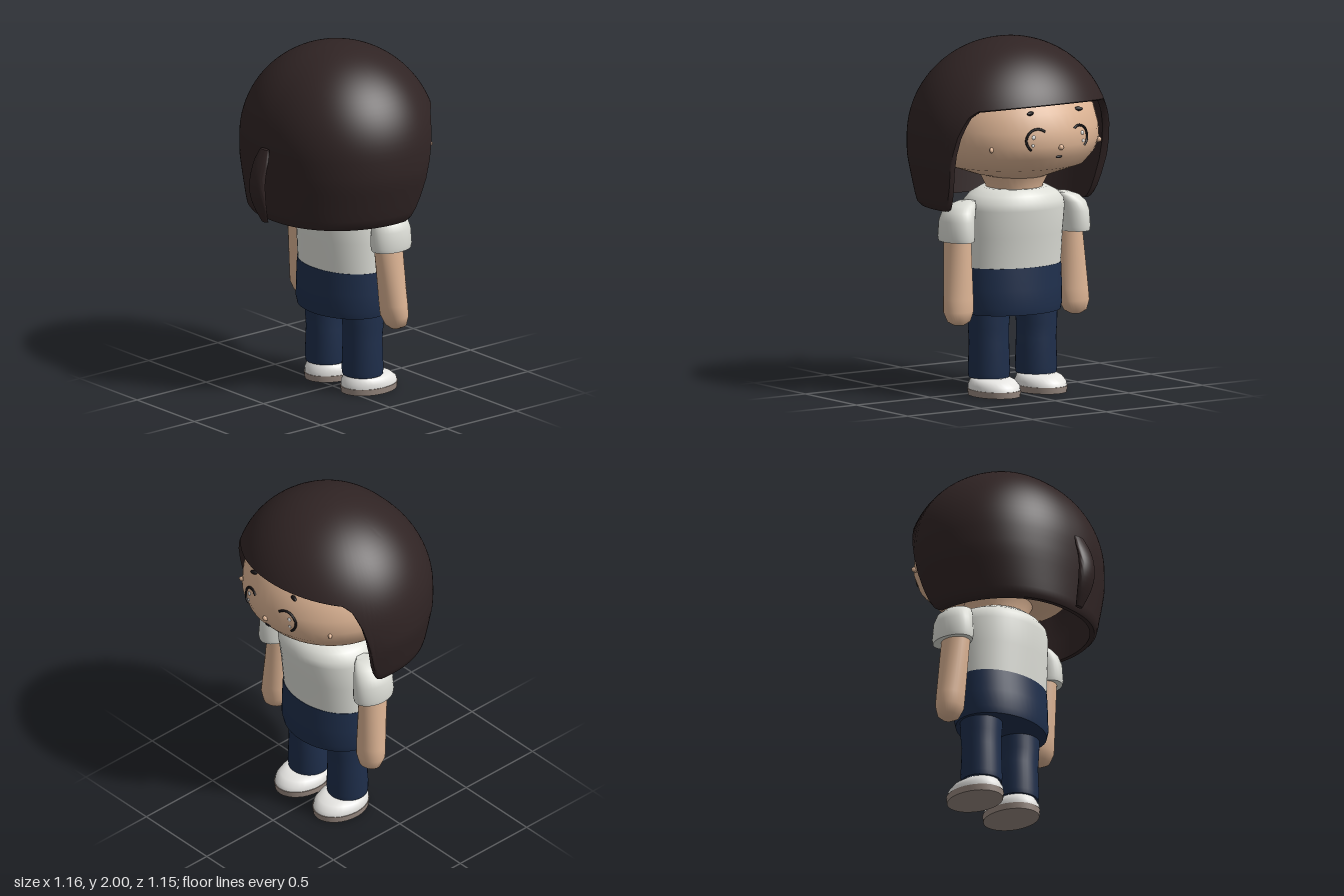
import * as THREE from 'three';
import { toCreasedNormals } from 'three/addons/utils/BufferGeometryUtils.js';

const material = (name, color) => {
  const m = new THREE.MeshStandardMaterial({ color });
  m.name = name;
  return m;
};

// Skin a list of closed rings, ordered bottom to top
function skin(rings, crease = 0.8) {
  const n = rings[0].length, pos = [], idx = [];
  rings.forEach(r => r.forEach(p => pos.push(...p)));
  for (let i = 0; i < rings.length - 1; i++) {
    for (let j = 0; j < n; j++) {
      const k = (j + 1) % n, a = i * n + j, b = i * n + k, c = a + n, d = b + n;
      idx.push(a, b, c, b, d, c);
    }
  }
  const g = new THREE.BufferGeometry();
  g.setAttribute('position', new THREE.Float32BufferAttribute(pos, 3));
  g.setIndex(idx);
  g.computeVertexNormals();
  return crease ? toCreasedNormals(g, crease) : g;
}

// Elliptical sections [y, rx, rz, cx, cz], closed at both ends
function loft(sections, n = 32) {
  const first = sections[0], last = sections[sections.length - 1];
  const cap = s => [s[0], 0.0001, 0.0001, s[3], s[4]];
  return skin([cap(first), ...sections, cap(last)].map(([y, rx, rz, cx, cz]) =>
    Array.from({ length: n }, (_, j) => {
      const t = j / n * Math.PI * 2;
      return [cx + rx * Math.sin(t), y, cz + rz * Math.cos(t)];
    })));
}

// Piecewise linear lookup in rows sorted by first column
function lookup(rows, v, col = 1) {
  let i = 1;
  while (i < rows.length - 1 && rows[i][0] < v) i++;
  const a = rows[i - 1], b = rows[i];
  const t = THREE.MathUtils.clamp((v - a[0]) / (b[0] - a[0]), 0, 1);
  return a[col] + (b[col] - a[col]) * t;
}

const HEAD = [
  [1.23, 0.17, 0.18, 0, -0.11], [1.25, 0.25, 0.24, 0, -0.1], [1.3, 0.4, 0.37, 0, -0.1],
  [1.37, 0.455, 0.435, 0, -0.1], [1.44, 0.48, 0.46, 0, -0.1], [1.52, 0.475, 0.455, 0, -0.1],
  [1.62, 0.45, 0.425, 0, -0.1], [1.7, 0.4, 0.375, 0, -0.1], [1.78, 0.3, 0.29, 0, -0.1],
];
const faceZ = (x, y) =>
  -0.1 - lookup(HEAD, y, 2) * Math.sqrt(1 - (x / lookup(HEAD, y, 1)) ** 2);

// Lower hair edge: [front-facing amount, height]
const HAIR_EDGE = [
  [-1, 1.06], [0.18, 1.06], [0.24, 1.09], [0.32, 1.2], [0.4, 1.38],
  [0.46, 1.5], [0.54, 1.6], [0.62, 1.64], [1, 1.67],
];
const HAIR_FALL = [[1.06, 0.86], [1.1, 0.89], [1.25, 0.96], [1.35, 1], [1.45, 1]];

function hairGeometry() {
  const n = 120;
  const point = (j, v, scale) => {
    const t = j / n * Math.PI * 2, s = Math.sin(t), c = Math.cos(t);
    const y = 2 - (2 - lookup(HAIR_EDGE, -c)) * v * v;
    const dome = y > 1.45 ? Math.sqrt(Math.max(0, 1 - ((y - 1.45) / 0.55) ** 2)) : 1;
    const fall = lookup(HAIR_FALL, y);
    const e = c > 0 ? 0.88 : 1;
    const x = 0.58 * dome * fall * Math.sign(s) * Math.abs(s) ** e;
    const z = (c > 0 ? 0.52 : 0.53) * dome * (0.7 + 0.3 * fall) * c;
    return [x * scale, y, -0.05 + z * scale];
  };
  const ring = (v, scale) => Array.from({ length: n }, (_, j) => point(j, v, scale));
  const rings = [];
  for (let i = 5; i <= 12; i++) rings.push(ring(i / 12, 0.93)); // inner lining
  rings.push(ring(1, 0.98));
  for (let i = 32; i >= 0; i--) rings.push(ring(i === 32 ? 0.99 : i / 32, 1)); // outside
  return skin(rings, 0.9);
}

export function createModel() {
  const model = new THREE.Group();
  model.name = 'figure';
  const hair = material('dark brown hair', 0x302424);
  const skinTone = material('skin', 0xdeb595);
  const shirt = material('off white cloth', 0xdedfd8);
  const navy = material('navy cloth', 0x1f2f4c);
  const shoe = material('white shoe', 0xeae9e6);
  const sole = material('taupe sole', 0x998a81);
  const ink = material('black features', 0x151214);

  const add = (name, geometry, mat, parent = model) => {
    const m = new THREE.Mesh(geometry, mat);
    m.name = name;
    parent.add(m);
    return m;
  };

  // Head, neck and hair
  add('head', loft(HEAD, 48), skinTone);
  add('neck', loft([[1.08, 0.16, 0.16, 0, -0.1], [1.17, 0.16, 0.16, 0, -0.1],
    [1.25, 0.2, 0.2, 0, -0.1]]), skinTone);
  add('hair', hairGeometry(), hair);
  const lock = [];
  for (let i = 0; i <= 14; i++) {
    const u = i / 14, bulge = Math.sin(Math.PI * u);
    const w = lookup([[0, 0.025], [0.2, 0.05], [0.4, 0.062], [0.85, 0.058], [1, 0.038]], u);
    lock.push([1.065 + 0.425 * u, w, 0.012 + 0.016 * bulge, 0, 0.488 + 0.057 * bulge]);
  }
  add('backLock', loft(lock), hair);

  // Torso and shorts
  add('shirt', loft([[0.72, 0.3, 0.215, 0, -0.075], [0.9, 0.303, 0.232, 0, -0.08],
    [1.05, 0.305, 0.25, 0, -0.09], [1.09, 0.295, 0.247, 0, -0.092],
    [1.13, 0.26, 0.22, 0, -0.095], [1.165, 0.19, 0.18, 0, -0.1]], 48), shirt);
  add('hips', loft([[0.46, 0.295, 0.222, 0, -0.075], [0.5, 0.305, 0.23, 0, -0.075],
    [0.6, 0.305, 0.226, 0, -0.075], [0.725, 0.302, 0.218, 0, -0.075]], 48), navy);

  for (const s of [1, -1]) {
    const side = s > 0 ? 'left' : 'right';

    // Arm and sleeve
    add(side + 'Arm', loft([[0.415, 0.03, 0.03, s * 0.395, -0.13],
      [0.435, 0.068, 0.055, s * 0.395, -0.13], [0.49, 0.09, 0.073, s * 0.393, -0.122],
      [0.56, 0.088, 0.076, s * 0.39, -0.117], [0.9, 0.072, 0.086, s * 0.378, -0.09],
      [1.0, 0.07, 0.086, s * 0.375, -0.09]]), skinTone);
    add(side + 'Sleeve', loft([[0.885, 0.086, 0.125, s * 0.392, -0.1],
      [0.91, 0.09, 0.13, s * 0.392, -0.1], [1.0, 0.088, 0.125, s * 0.388, -0.1],
      [1.05, 0.085, 0.11, s * 0.375, -0.1], [1.085, 0.07, 0.085, s * 0.35, -0.1],
      [1.105, 0.045, 0.05, s * 0.32, -0.1]]), shirt);

    // Leg and shoe
    add(side + 'Leg', loft([[0.1, 0.115, 0.112, s * 0.16, -0.085],
      [0.13, 0.119, 0.116, s * 0.16, -0.085], [0.3, 0.114, 0.11, s * 0.16, -0.085],
      [0.38, 0.115, 0.115, s * 0.163, -0.085], [0.48, 0.12, 0.12, s * 0.16, -0.085]]), navy);
    add(side + 'Sole', loft([[0, 0.132, 0.172, s * 0.158, -0.133],
      [0.036, 0.136, 0.176, s * 0.158, -0.133]]), sole);
    const upper = loft([[0.036, 0.132, 0.172, s * 0.158, -0.133],
      [0.06, 0.132, 0.168, s * 0.158, -0.13], [0.085, 0.12, 0.145, s * 0.158, -0.12],
      [0.1, 0.1, 0.115, s * 0.158, -0.1]]);
    add(side + 'Shoe', upper, shoe);

    // Eye line, highlights, brow and cheek
    const arc = [];
    for (let i = 0; i <= 10; i++) {
      const a = -0.7 + 3.2 * i / 10;
      const x = s * (0.14 + 0.065 * Math.sin(a)), y = 1.48 + 0.065 * Math.cos(a);
      arc.push(new THREE.Vector3(x, y, faceZ(x, y) - 0.002));
    }
    add(side + 'Eye', new THREE.TubeGeometry(new THREE.CatmullRomCurve3(arc), 30, 0.007, 8), ink);
    for (const [x, y, r] of [[0.165, 1.5, 0.012], [0.17, 1.455, 0.009]]) {
      const dot = add(side + 'EyeHighlight', new THREE.SphereGeometry(r, 12, 8), shoe);
      dot.position.set(s * x, y, faceZ(x, y));
      dot.scale.z = 0.5;
    }
    const brow = add(side + 'Brow', new THREE.SphereGeometry(0.03, 16, 10), ink);
    brow.position.set(s * 0.16, 1.63, faceZ(0.16, 1.63));
    brow.scale.set(1, 0.4, 0.4);
    brow.rotation.y = s * 0.35;
    const cheek = add(side + 'Cheek', new THREE.SphereGeometry(0.022, 16, 10), skinTone);
    cheek.position.set(s * 0.36, 1.43, faceZ(0.36, 1.43));
    cheek.scale.set(1, 0.75, 0.5);
    cheek.rotation.y = s * 0.7;
  }

  // Nose and mouth
  const nose = add('nose', new THREE.SphereGeometry(0.016, 16, 10), skinTone);
  nose.position.set(0, 1.435, faceZ(0, 1.435));
  const mouth = add('mouth', new THREE.SphereGeometry(0.022, 16, 10), ink);
  mouth.position.set(0, 1.38, faceZ(0, 1.38));
  mouth.scale.set(1, 0.35, 0.3);

  return model;
}
